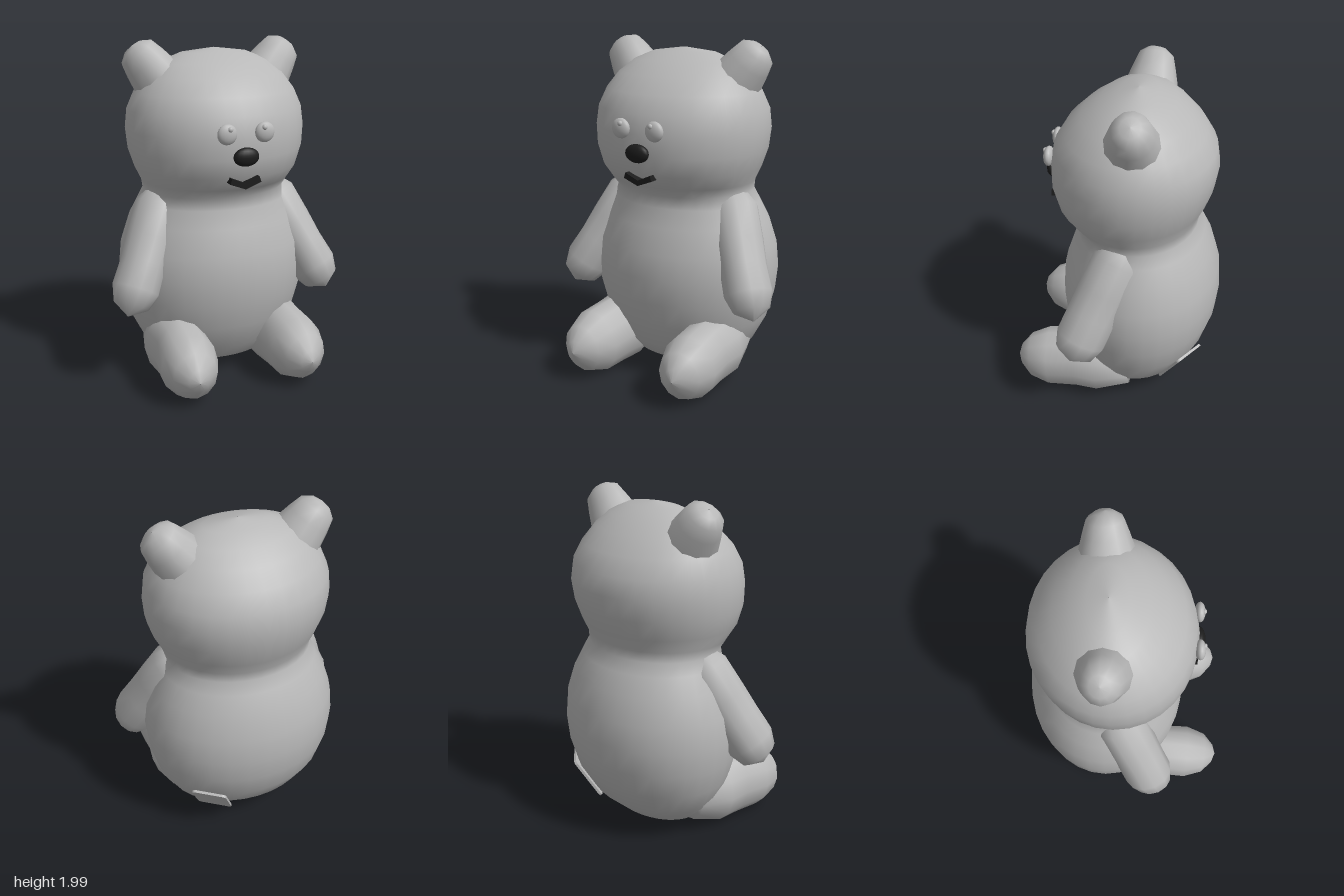
import * as THREE from 'three';

// Smooth closed skin through oval rings [height, halfWidth, frontZ, backZ]
function loft(rings, sides) {
  const pos = [], idx = [];
  for (const [y, w, f, b] of rings) {
    for (let j = 0; j < sides; j++) {
      const a = (j / sides) * Math.PI * 2;
      pos.push(w * Math.sin(a), y, (f + b) / 2 + ((f - b) / 2) * Math.cos(a));
    }
  }
  for (let i = 0; i < rings.length - 1; i++) {
    for (let j = 0; j < sides; j++) {
      const k = (j + 1) % sides;
      const a = i * sides + j, b = i * sides + k, c = b + sides, d = a + sides;
      idx.push(a, b, c, a, c, d);
    }
  }
  const g = new THREE.BufferGeometry();
  g.setAttribute('position', new THREE.Float32BufferAttribute(pos, 3));
  g.setIndex(idx);
  g.computeVertexNormals();
  return g;
}

// Tapered limb from a root to a tip; rings are [fraction, halfWidth, halfDepth]
function limb(root, tip, rings, sides = 12) {
  const A = new THREE.Vector3(...root), dir = new THREE.Vector3(...tip).sub(A);
  const len = dir.length();
  const g = loft(rings.map(([t, w, d]) => [t * len, w, d, -d]), sides);
  g.applyQuaternion(new THREE.Quaternion().setFromUnitVectors(new THREE.Vector3(0, 1, 0), dir.normalize()));
  return g.translate(A.x, A.y, A.z);
}

export function createModel() {
  const group = new THREE.Group();
  const fur = new THREE.MeshStandardMaterial({ color: 0xb8b8b8 });
  fur.name = 'grey fur';
  const black = new THREE.MeshStandardMaterial({ color: 0x1c1c1c });
  black.name = 'black';

  const add = (name, geo, mat) => {
    const m = new THREE.Mesh(geo, mat);
    m.name = name;
    group.add(m);
    return m;
  };
  const ball = (name, mat, p, s) => {
    const m = add(name, new THREE.SphereGeometry(1, 16, 12), mat);
    m.position.set(...p);
    m.scale.set(...s);
  };

  // Torso and head in one skin, pinched at the neck
  add('bodyAndHead', loft([
    [0.03, 0.002, -0.1, -0.104], [0.035, 0.2, 0.02, -0.2], [0.09, 0.34, 0.14, -0.33],
    [0.2, 0.45, 0.24, -0.45], [0.35, 0.525, 0.3, -0.54], [0.5, 0.565, 0.34, -0.585],
    [0.65, 0.58, 0.352, -0.6], [0.8, 0.565, 0.34, -0.588], [0.95, 0.515, 0.29, -0.543],
    [1.06, 0.46, 0.255, -0.49], [1.13, 0.43, 0.25, -0.45], [1.19, 0.445, 0.31, -0.455],
    [1.27, 0.485, 0.372, -0.492], [1.38, 0.52, 0.4, -0.53], [1.5, 0.53, 0.4, -0.548],
    [1.61, 0.518, 0.378, -0.53], [1.71, 0.476, 0.318, -0.468], [1.8, 0.41, 0.225, -0.385],
    [1.87, 0.325, 0.125, -0.295], [1.92, 0.2, 0.02, -0.2], [1.945, 0.002, -0.085, -0.09],
  ], 32), fur);

  // Paired parts
  for (const s of [1, -1]) {
    const side = s > 0 ? 'left' : 'right';
    add(side + 'Leg', limb([s * 0.31, 0.23, -0.12], [s * 0.345, 0.195, 0.6], [
      [0, 0.002, 0.002], [0.03, 0.15, 0.15], [0.3, 0.19, 0.21], [0.5, 0.165, 0.205],
      [0.72, 0.17, 0.195], [0.88, 0.13, 0.145], [0.97, 0.06, 0.07], [1, 0.002, 0.002],
    ]), fur);
    add(side + 'Arm', limb([s * 0.31, 1.13, -0.08], [s * 0.635, 0.48, 0.2], [
      [0, 0.002, 0.002], [0.03, 0.1, 0.1], [0.15, 0.15, 0.15], [0.4, 0.15, 0.145],
      [0.6, 0.148, 0.135], [0.8, 0.148, 0.14], [0.92, 0.115, 0.105], [1, 0.002, 0.002],
    ]), fur);
    add(side + 'Ear', limb([s * 0.27, 1.69, -0.1], [s * 0.478, 1.965, -0.12], [
      [0, 0.17, 0.18], [0.35, 0.15, 0.155], [0.65, 0.13, 0.125], [0.87, 0.11, 0.1],
      [0.97, 0.06, 0.055], [1, 0.002, 0.002],
    ]), fur);
    ball(side + 'Eye', fur, [s * 0.11, 1.53, 0.4], [0.057, 0.057, 0.03]);
    ball(side + 'Pupil', fur, [s * 0.1, 1.56, 0.422], [0.015, 0.015, 0.013]);
  }

  // Nose and mouth
  ball('nose', black, [0, 1.4, 0.406], [0.076, 0.053, 0.034]);
  const lips = new THREE.Shape([
    [-0.092, 1.252], [0, 1.217], [0.092, 1.252], [0.082, 1.284], [0, 1.248], [-0.082, 1.284],
  ].map(([x, y]) => new THREE.Vector2(x, y)));
  add('mouth', new THREE.ExtrudeGeometry(lips, { depth: 0.055, bevelEnabled: false }).translate(0, 0, 0.35), black);

  // Small rounded patch low on the back, turned towards the left
  const w = 0.105, h = 0.145, r = 0.025;
  const patch = new THREE.Shape();
  patch.absarc(w - r, h - r, r, 0, Math.PI / 2);
  patch.absarc(r - w, h - r, r, Math.PI / 2, Math.PI);
  patch.absarc(r - w, r - h, r, Math.PI, Math.PI * 1.5);
  patch.absarc(w - r, r - h, r, Math.PI * 1.5, Math.PI * 2);
  const tag = add('backPatch', new THREE.ExtrudeGeometry(patch, { depth: 0.015, bevelEnabled: false, curveSegments: 4 }), fur);
  tag.position.set(0.28, 0.248, -0.4);
  tag.lookAt(0.28 + 0.48, 0.248 - 0.54, -0.4 - 0.69);

  return group;
}
